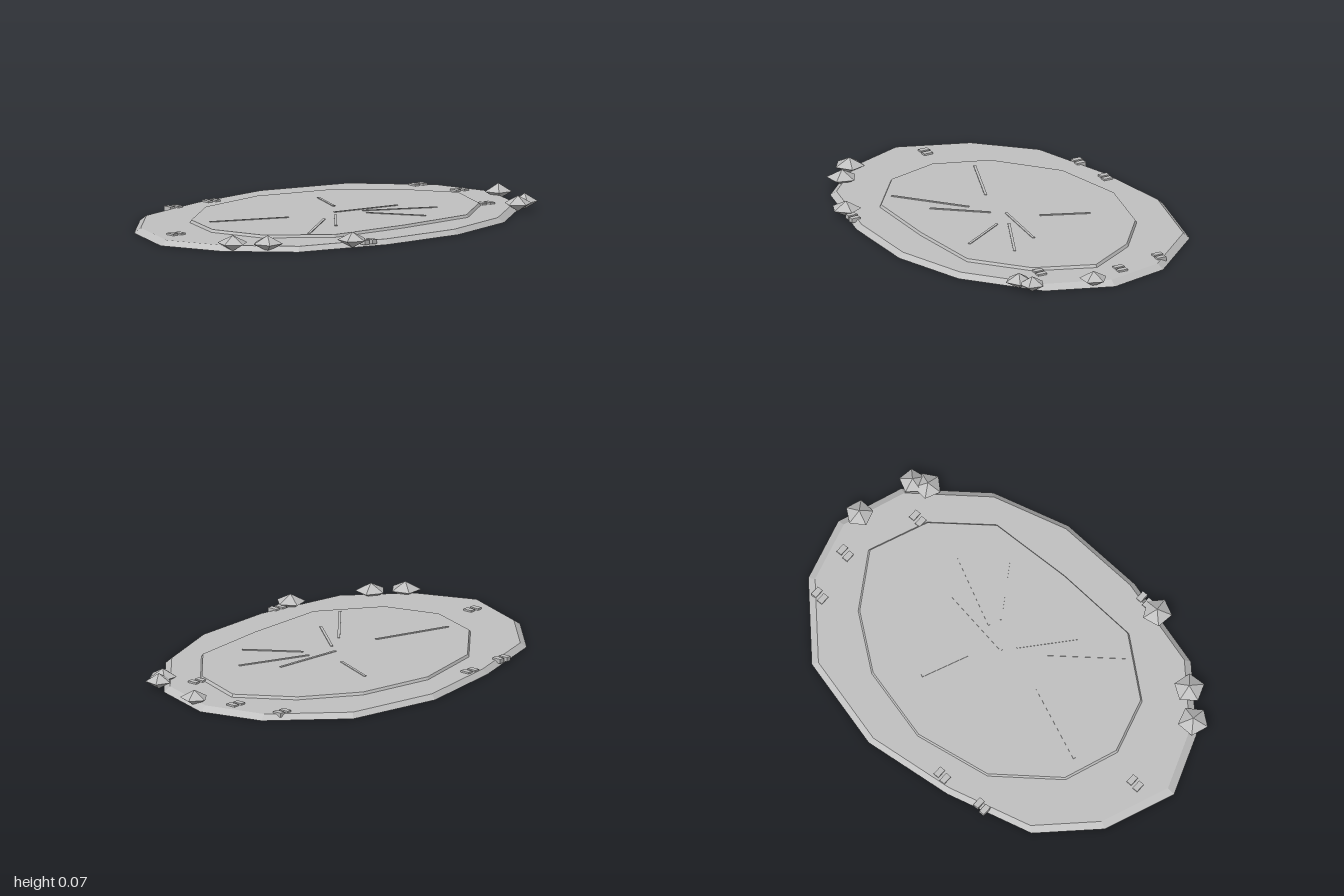
import * as THREE from 'three';

const stone = new THREE.MeshStandardMaterial({ color: 0xc0c0c0, flatShading: true });
stone.name = 'grey stone';

// Flat polygon slab (outline as [x, z], clockwise from above) with sloped rim
function slab(name, outline, y0, y1, inset) {
  const pos = [];
  const ring = (y, s) => outline.map(([x, z]) => [x * s, y, z * s]);
  const low = ring(y0, 1), high = ring(y1, inset);
  for (let i = 0; i < outline.length; i++) {
    const j = (i + 1) % outline.length;
    pos.push(...low[j], ...low[i], ...high[i], ...low[j], ...high[i], ...high[j]);
    pos.push(0, y1, 0, ...high[j], ...high[i]);
    pos.push(0, y0, 0, ...low[i], ...low[j]);
  }
  const g = new THREE.BufferGeometry();
  g.setAttribute('position', new THREE.Float32BufferAttribute(pos, 3));
  g.computeVertexNormals();
  const m = new THREE.Mesh(g, stone);
  m.name = name;
  return m;
}

function box(name, w, h, d, x, y, z, turn = 0) {
  const m = new THREE.Mesh(new THREE.BoxGeometry(w, h, d), stone);
  m.name = name;
  m.position.set(x, y, z);
  m.rotation.y = turn;
  return m;
}

export function createModel() {
  const model = new THREE.Group();
  model.name = 'stonePlatform';

  // Wide ground slab
  model.add(slab('groundSlab', [
    [-1, 0.02], [-0.875, -0.305], [-0.64, -0.535], [-0.235, -0.64], [0.19, -0.685],
    [0.625, -0.57], [0.905, -0.27], [0.98, 0.02], [0.87, 0.32], [0.545, 0.575],
    [0.19, 0.675], [-0.215, 0.66], [-0.645, 0.545], [-0.89, 0.3],
  ], 0, 0.022, 0.965));

  // Raised inner plate
  model.add(slab('innerPlate', [
    [-0.685, 0], [-0.595, -0.25], [-0.32, -0.465], [0.04, -0.525], [0.39, -0.435],
    [0.63, -0.25], [0.785, 0], [0.675, 0.27], [0.43, 0.465], [0.04, 0.48],
    [-0.355, 0.46], [-0.61, 0.255],
  ], 0.02, 0.034, 0.987));

  // Thin ridges radiating over the plate
  const ridges = [
    [-0.56, -0.15, -0.22, -0.01], [-0.42, 0.36, -0.13, 0.13], [-0.2, 0.29, -0.02, 0.08],
    [0.02, 0.025, 0.35, 0.075], [0.14, 0.08, 0.45, 0.23], [0.12, -0.09, 0.21, -0.3],
    [0.12, 0.13, 0.27, 0.36],
  ];
  for (const [x0, z0, x1, z1] of ridges) {
    model.add(box('ridge', Math.hypot(x1 - x0, z1 - z0), 0.006, 0.012,
      (x0 + x1) / 2, 0.034, (z0 + z1) / 2, -Math.atan2(z1 - z0, x1 - x0)));
  }

  // Paired small blocks around the border
  const pairs = [
    [-0.84, -0.06], [-0.395, -0.59], [-0.166, -0.595], [0.805, -0.307],
    [0.852, -0.08], [0.714, 0.255], [-0.304, 0.625],
  ];
  for (const [x, z] of pairs) {
    for (const side of [-1, 1]) {
      model.add(box('borderBlock', 0.027, 0.02, 0.045, x + side * 0.02, 0.02, z + side * 0.003));
    }
  }

  // Faceted rocks: five-sided double pyramids
  const rocks = [
    [-0.845, 0.33, 0.07, 0.3], [-0.73, 0.435, 0.07, 1], [-0.385, 0.615, 0.068, 0.5],
    [0.925, 0.1, 0.064, 0.9], [0.78, 0.4, 0.064, 0.2], [0.845, 0.37, 0.06, 1.1],
  ];
  for (const [x, z, r, turn] of rocks) {
    const rock = new THREE.Mesh(new THREE.SphereGeometry(1, 5, 2), stone);
    rock.name = 'rock';
    rock.scale.set(r, 0.036, r);
    rock.position.set(x, 0.036, z);
    rock.rotation.y = turn;
    model.add(rock);
  }
  return model;
}
